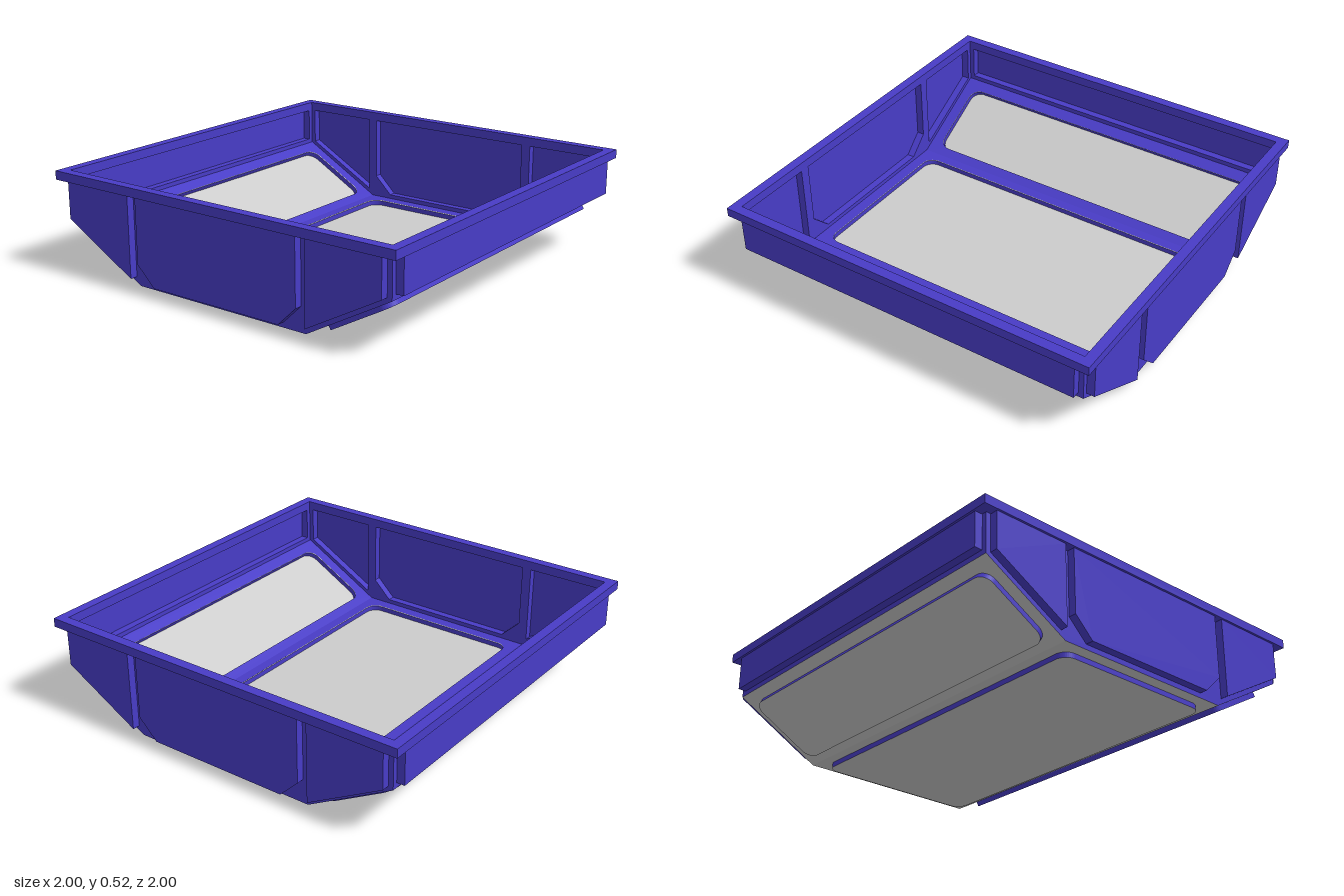
import * as THREE from 'three';

const blue = new THREE.MeshStandardMaterial({ color: 0x483cc6, side: THREE.DoubleSide });
const grey = new THREE.MeshStandardMaterial({ color: 0xcccccc, side: THREE.DoubleSide });

const polygon = pts => new THREE.Shape(pts.map(([x, y]) => new THREE.Vector2(x, y)));
const rectangle = (x0, y0, x1, y1) => polygon([[x0, y0], [x1, y0], [x1, y1], [x0, y1]]);

function roundedRectangle(x0, y0, x1, y1, r) {
  const s = new THREE.Shape();
  s.absarc(x1 - r, y1 - r, r, 0, Math.PI / 2);
  s.absarc(x0 + r, y1 - r, r, Math.PI / 2, Math.PI);
  s.absarc(x0 + r, y0 + r, r, Math.PI, Math.PI * 1.5);
  s.absarc(x1 - r, y0 + r, r, Math.PI * 1.5, Math.PI * 2);
  s.closePath();
  return s;
}

function addMesh(group, name, geometry, material, z = 0) {
  const mesh = new THREE.Mesh(geometry, material);
  mesh.name = name;
  mesh.position.z = z;
  group.add(mesh);
}

// Strip running round a panel outline, from the sheet out to the panel
function stepGeometry(shape, depth) {
  const pts = shape.getPoints(6), pos = [];
  pts.forEach((a, i) => {
    const b = pts[(i + 1) % pts.length];
    if (a.distanceTo(b) < 1e-6) return;
    pos.push(a.x, a.y, 0, b.x, b.y, 0, b.x, b.y, depth, a.x, a.y, 0, b.x, b.y, depth, a.x, a.y, depth);
  });
  const g = new THREE.BufferGeometry();
  g.setAttribute('position', new THREE.Float32BufferAttribute(pos, 3));
  g.computeVertexNormals();
  return g;
}

// Thin sheet whose panels are pushed outward along local +z
function pressedSheet(name, outline, panels, depth, isFloor) {
  const group = new THREE.Group();
  group.name = name;
  outline.holes = panels;
  const sheet = new THREE.ShapeGeometry(outline, 6);
  addMesh(group, name + 'Frame', sheet, blue, isFloor ? -0.004 : 0);
  if (isFloor) addMesh(group, name + 'Underside', sheet, grey);
  for (const panel of panels) {
    addMesh(group, name + 'PanelEdge', stepGeometry(panel, depth), blue);
    addMesh(group, name + 'Panel', new THREE.ShapeGeometry(panel, 6), isFloor ? grey : blue, depth);
  }
  return group;
}

export function createModel() {
  const model = new THREE.Group();
  model.name = 'tray';
  const W = 0.95, top = 0.48, sideY = 0.28, floorY = 0.026, floorX = 0.5;

  // Square rim
  const rim = rectangle(-1, -1, 1, 1);
  rim.holes = [rectangle(-W, -W, W, W)];
  const rimGeometry = new THREE.ExtrudeGeometry(rim, { depth: 0.045, bevelEnabled: false });
  rimGeometry.rotateX(-Math.PI / 2).translate(0, top, 0);
  addMesh(model, 'rim', rimGeometry, blue);

  // Flat middle of the floor
  const floor = pressedSheet('floor', rectangle(-floorX, -W, floorX, W),
    [roundedRectangle(-0.445, -0.89, 0.445, 0.89, 0.06)], floorY, true);
  floor.rotation.x = Math.PI / 2;
  floor.position.y = floorY;
  model.add(floor);

  const slopeAngle = Math.atan2(sideY - floorY, W - floorX);
  const slopeLength = Math.hypot(sideY - floorY, W - floorX);

  // Each half turn makes one end wall, one side wall and one sloping floor
  for (const turn of [0, Math.PI]) {
    const half = new THREE.Group();
    half.name = turn ? 'backRightHalf' : 'frontLeftHalf';
    half.rotation.y = turn;
    model.add(half);

    const t = top - 0.001;
    const endWall = pressedSheet('endWall',
      polygon([[-W, top], [-W, sideY], [-floorX, floorY], [floorX, floorY], [W, sideY], [W, top]]),
      [
        polygon([[-0.475, t], [-0.475, 0.15], [-0.375, 0.052], [0.375, 0.052], [0.475, 0.15], [0.475, t]]),
        polygon([[0.525, t], [0.525, 0.068], [0.925, 0.292], [0.925, t]]),
        polygon([[-0.525, t], [-0.925, t], [-0.925, 0.292], [-0.525, 0.068]]),
      ], 0.04, false);
    endWall.position.z = W;
    half.add(endWall);

    const sideWall = pressedSheet('sideWall', rectangle(-W, sideY, W, top),
      [rectangle(-0.925, 0.305, 0.925, t)], 0.04, false);
    sideWall.rotation.y = Math.PI / 2;
    sideWall.position.x = W;
    half.add(sideWall);

    const slope = pressedSheet('slopingFloor', rectangle(0, -W, slopeLength, W),
      [roundedRectangle(0.053, -0.89, slopeLength - 0.062, 0.89, 0.06)], 0.026, true);
    slope.rotation.set(Math.PI / 2, 0, slopeAngle, 'ZYX');
    slope.position.set(floorX, floorY, 0);
    half.add(slope);
  }
  return model;
}
